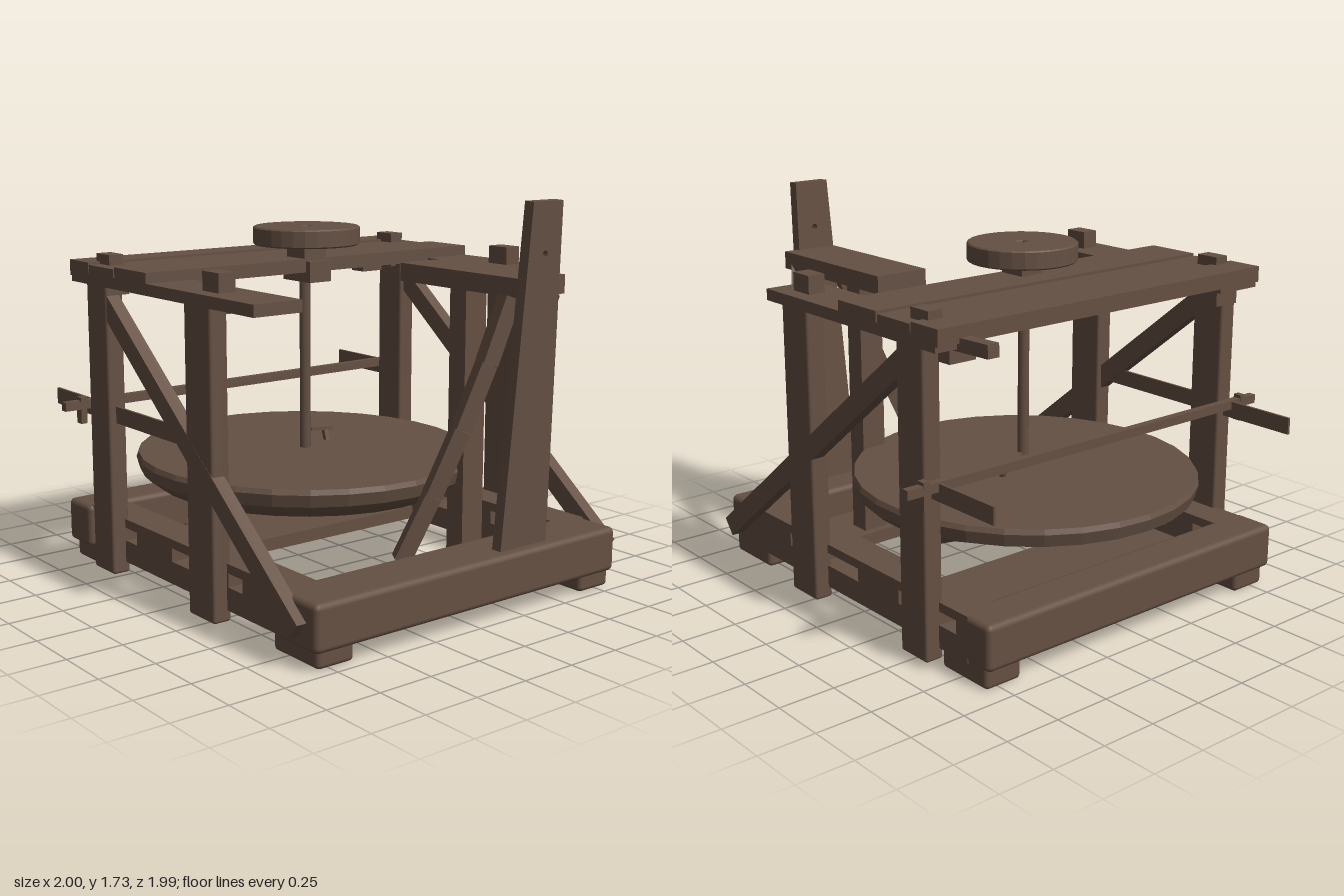
import * as THREE from 'three';
import { RoundedBoxGeometry } from 'three/addons/geometries/RoundedBoxGeometry.js';

const wood = new THREE.MeshStandardMaterial({ color: 0x655043 });
wood.name = 'brown wood';

export function createModel() {
  const model = new THREE.Group();
  model.name = 'timberMill';

  const add = (name, geometry) => {
    const mesh = new THREE.Mesh(geometry, wood);
    mesh.name = name;
    model.add(mesh);
    return mesh;
  };
  // Box given by its limits; a radius rounds its edges
  const box = (name, x0, x1, y0, y1, z0, z1, radius = 0) => {
    const size = [x1 - x0, y1 - y0, z1 - z0];
    const g = radius ? new RoundedBoxGeometry(...size, 2, radius) : new THREE.BoxGeometry(...size);
    const mesh = add(name, g);
    mesh.position.set((x0 + x1) / 2, (y0 + y1) / 2, (z0 + z1) / 2);
    return mesh;
  };
  // The same box on either side of the frame
  const pair = (name, x0, x1, ...rest) => {
    box(name + 'Left', x0, x1, ...rest);
    box(name + 'Right', -x1, -x0, ...rest);
  };
  // Straight timber between two points
  const beam = (name, a, b, width, depth) => {
    const from = new THREE.Vector3(...a), to = new THREE.Vector3(...b);
    const mesh = add(name, new THREE.BoxGeometry(width, depth, from.distanceTo(to)));
    mesh.position.copy(from).add(to).multiplyScalar(0.5);
    mesh.lookAt(to);
    return mesh;
  };

  // Base frame
  box('frontSill', -0.845, 0.82, 0.08, 0.28, 0.73, 0.99, 0.025);
  box('backSill', -0.845, 0.82, 0.08, 0.28, -0.93, -0.73, 0.025);
  pair('frontFoot', 0.635, 0.815, 0.005, 0.12, 0.67, 0.96, 0.02);
  pair('backFoot', 0.635, 0.815, 0, 0.12, -0.91, -0.63, 0.02);
  box('frontFloorPlank', -0.68, 0.68, 0.08, 0.14, 0.44, 0.74);
  box('backFloorPlank', -0.68, 0.68, 0.08, 0.14, -0.6, -0.18);

  // Slotted side rails: two boards with spacers
  pair('railBottom', 0.66, 0.82, 0.08, 0.18, -0.8, 0.8);
  pair('railTop', 0.66, 0.82, 0.24, 0.28, -0.8, 0.8);
  for (const [z0, z1] of [[0.47, 0.8], [0.22, 0.37], [-0.35, -0.06], [-0.62, -0.45], [-0.8, -0.73]]) {
    pair('railSpacer', 0.66, 0.82, 0.17, 0.25, z0, z1);
  }

  // Corner posts with tenons poking through the top planks
  pair('frontPost', 0.8, 0.885, 0.03, 1.35, 0.17, 0.36, 0.012);
  pair('backPost', 0.8, 0.885, 0.03, 1.35, -0.62, -0.45, 0.012);
  pair('frontTenon', 0.75, 0.83, 1.3, 1.465, 0.23, 0.345);
  pair('backTenon', 0.77, 0.84, 1.3, 1.465, -0.6, -0.49);
  pair('bracket', 0.68, 0.81, 1.27, 1.35, -0.69, -0.6);

  // Top planks
  box('sidePlankLeft', 0.66, 0.9, 1.335, 1.385, -0.72, 0.45);
  box('sidePlankRight', -0.9, -0.67, 1.335, 1.385, -0.72, 0.68);
  box('crossPlankFront', -0.9, 0.9, 1.37, 1.43, -0.345, -0.09);
  box('crossPlankMiddle', -0.9, 0.9, 1.365, 1.42, -0.565, -0.355);
  box('crossPlankBack', -0.9, 0.9, 1.36, 1.43, -0.735, -0.57);
  beam('backPeg', [0.77, 1.35, -0.6], [0.77, 1.36, -0.9], 0.055, 0.055);

  // Long diagonal side braces
  for (const s of [1, -1]) {
    beam('sideBrace', [s * 0.86, 0.16, 0.9], [s * 0.85, 1.34, -0.58], 0.06, 0.09);
  }

  // Tall tapered front post with a bolt hole
  const tall = new THREE.Shape([
    [0.16, 0.26], [0.43, 0.26], [0.42, 1.735], [0.25, 1.735],
  ].map(p => new THREE.Vector2(...p)));
  tall.holes.push(new THREE.Path().absarc(0.33, 1.52, 0.015, 0, Math.PI * 2, true));
  const tallPost = add('tallPost', new THREE.ExtrudeGeometry(tall, { depth: 0.05, bevelEnabled: false, curveSegments: 6 }));
  tallPost.position.z = 0.88;
  tallPost.rotation.x = 0.037;

  // Arm behind the tall post, its prop and braces
  box('armPlank', 0.23, 0.49, 1.34, 1.42, 0.21, 0.95);
  box('armProp', 0.28, 0.4, 0.1, 1.35, 0.48, 0.58);
  beam('armBraceLeft', [0.44, 1.36, 0.92], [0.83, 0.58, 0.34], 0.06, 0.08);
  const bend = new THREE.QuadraticBezierCurve3(
    new THREE.Vector3(0.24, 1.34, 0.88), new THREE.Vector3(0.05, 0.8, 0.84), new THREE.Vector3(-0.17, 0.25, 0.69));
  for (let i = 0; i < 4; i++) {
    beam('armBraceRight', bend.getPoint(i / 4).toArray(), bend.getPoint((i + 1) / 4).toArray(), 0.075, 0.07);
  }

  // Horizontal rod with wedges, and the bars running back from it
  beam('crossRod', [-1, 0.785, -0.65], [1, 0.785, -0.65], 0.035, 0.04);
  pair('rodWedge', 0.895, 0.925, 0.7, 0.82, -0.67, -0.63);
  box('sideBarLeft', 0.838, 0.85, 0.725, 0.8, -0.995, -0.6);
  box('sideBarRight', -0.85, -0.838, 0.725, 0.8, -0.995, 0.3);

  // Great wheel: faceted disc, thinner underneath toward the back
  const wheelProfile = [[0, 0.41], [0.7, 0.41], [0.75, 0.445], [0.775, 0.47], [0.79, 0.525], [0.78, 0.547], [0, 0.547]];
  let disc = new THREE.LatheGeometry(wheelProfile.map(p => new THREE.Vector2(...p)), 30).toNonIndexed();
  const pos = disc.attributes.position;
  for (let i = 0; i < pos.count; i++) {
    if (pos.getZ(i) < -0.25) pos.setY(i, Math.max(pos.getY(i), 0.46));
    pos.setX(i, pos.getX(i) * 0.97);
  }
  disc.computeVertexNormals();
  add('greatWheel', disc).position.set(-0.015, 0, -0.18);

  // Shaft, bearing block and small top wheel with a square socket
  const shaft = add('shaft', new THREE.CylinderGeometry(0.025, 0.025, 0.84, 8));
  shaft.position.set(-0.015, 0.95, -0.17);
  box('bearingBlock', -0.07, 0.05, 1.325, 1.42, -0.26, -0.06);
  box('bearingNeck', -0.07, 0.05, 1.4, 1.5, -0.23, -0.1);
  const cap = new THREE.Shape().absarc(0, 0, 0.235, 0, Math.PI * 2, false);
  cap.holes.push(new THREE.Path([[-0.025, -0.025], [-0.025, 0.025], [0.025, 0.025], [0.025, -0.025]]
    .map(p => new THREE.Vector2(...p))));
  const topWheel = add('topWheel', new THREE.ExtrudeGeometry(cap, {
    depth: 0.07, curveSegments: 14, bevelThickness: 0.006, bevelSize: 0.006, bevelSegments: 1,
  }));
  topWheel.rotation.x = -Math.PI / 2;
  topWheel.position.set(-0.005, 1.494, -0.17);

  // Small crank handle lying over the great wheel
  beam('crankArm', [0.03, 0.62, -0.2], [0.2, 0.592, -0.26], 0.03, 0.015);
  beam('crankPin', [0.15, 0.54, -0.22], [0.15, 0.6, -0.24], 0.02, 0.02);

  return model;
}
